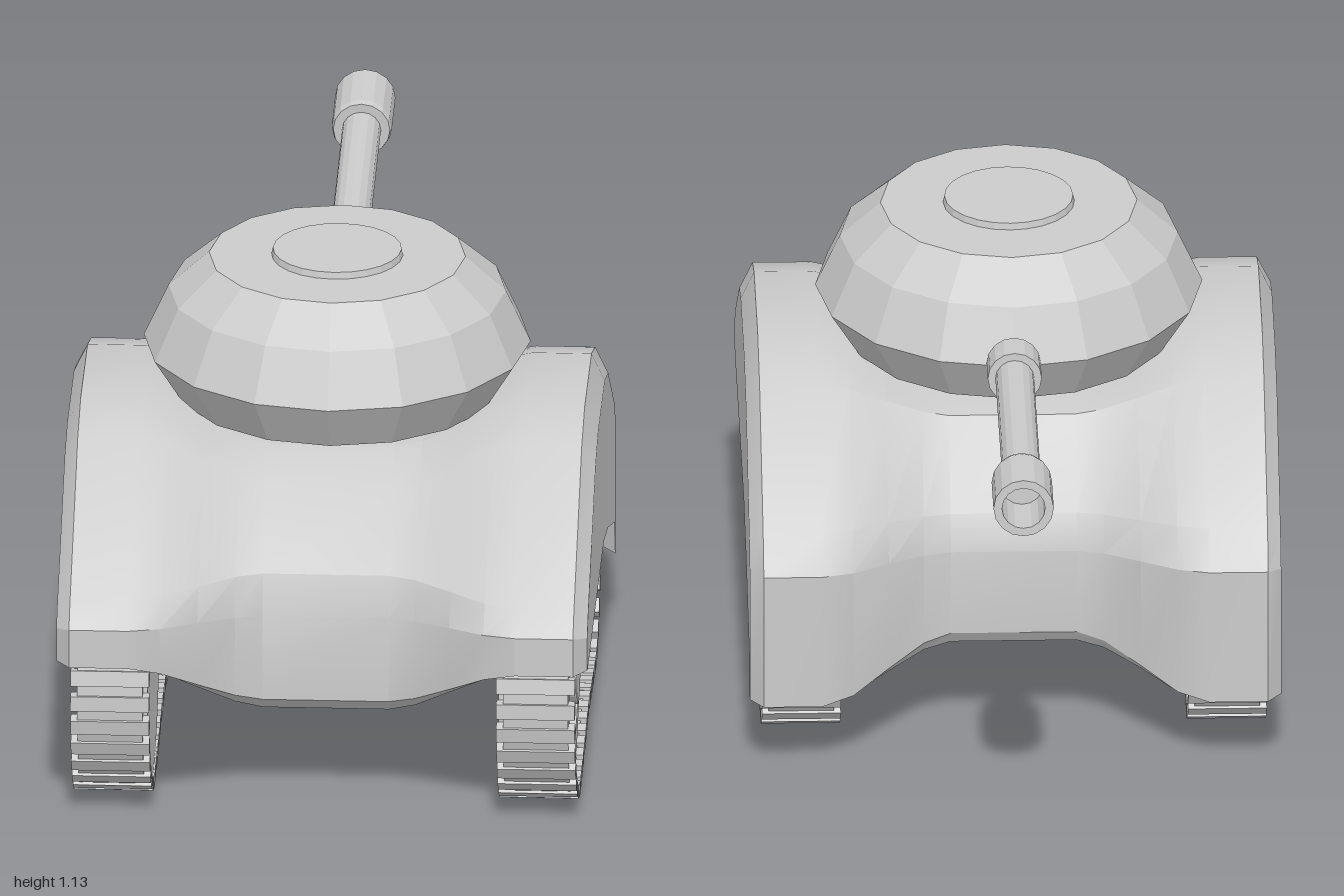
import * as THREE from 'three';
import { mergeGeometries, toCreasedNormals } from 'three/addons/utils/BufferGeometryUtils.js';

const flat = new THREE.MeshStandardMaterial({ color: 0xcccccc, flatShading: true });
const smooth = new THREE.MeshStandardMaterial({ color: 0xcccccc });

function addMesh(parent, name, geometry, material = flat) {
  const mesh = new THREE.Mesh(geometry, material);
  mesh.name = name;
  parent.add(mesh);
  return mesh;
}

// Profile of [radius, height] pairs turned around y
function lathe(points, sides) {
  return new THREE.LatheGeometry(points.map(p => new THREE.Vector2(...p)), sides);
}

// Hull: side profiles [z, y] lofted across x, from low middle to high fenders
function hullGeometry() {
  const fender = [[0.97, 0.415], [1, 0.42], [1, 0.51], [0.95, 0.56], [0.6, 0.81], [0.47, 0.85],
    [0.16, 0.85], [0, 0.8], [-0.3, 0.58], [-0.36, 0.5], [-0.36, 0.18], [-0.34, 0.18],
    [-0.33, 0.26], [0, 0.375], [0.2, 0.42], [0.5, 0.42]];
  const middle = [[0.76, 0.235], [0.8, 0.27], [0.8, 0.47], [0.77, 0.56], [0.6, 0.7], [0.48, 0.75],
    [0.16, 0.75], [0, 0.72], [-0.15, 0.55], [-0.18, 0.47], [-0.18, 0.27], [-0.16, 0.24],
    [-0.12, 0.24], [0, 0.245], [0.2, 0.25], [0.5, 0.29]];
  const blend = t => middle.map((m, i) => [0, 1].map(k => m[k] + (fender[i][k] - m[k]) * t));
  const inset = fender.map(([z, y]) => [0.32 + (z - 0.32) * 0.94, y > 0.42 ? 0.42 + (y - 0.42) * 0.86 : y]);

  const half = [[0.14, blend(0)], [0.2, blend(0.13)], [0.28, blend(0.48)], [0.36, blend(0.85)],
    [0.43, fender], [0.56, fender], [0.59, inset]];
  const rings = [...half.map(([x, p]) => [-x, p]).reverse(), ...half];
  const n = fender.length;
  const positions = [];
  const indices = [];
  for (const [x, profile] of rings) for (const [z, y] of profile) positions.push(x, y, z);
  for (let i = 0; i < rings.length - 1; i++) {
    for (let j = 0; j < n; j++) {
      const a = i * n + j, d = i * n + (j + 1) % n;
      indices.push(a, a + n, d + n, a, d + n, d);
    }
  }
  // Flat side walls
  const last = (rings.length - 1) * n;
  const outline = inset.map(p => new THREE.Vector2(...p));
  for (const [a, b, c] of THREE.ShapeUtils.triangulateShape(outline, [])) {
    indices.push(a, b, c, last + a, last + c, last + b);
  }
  const geometry = new THREE.BufferGeometry();
  geometry.setAttribute('position', new THREE.Float32BufferAttribute(positions, 3));
  geometry.setIndex(indices);
  return toCreasedNormals(geometry, 0.4);
}

const frontWheel = { z: 0.63, y: 0.3, r: 0.27, hub: 0.09 };
const rearWheel = { z: -0.035, y: 0.245, r: 0.205, hub: 0.067 };

function wheelGeometry({ z, y, r, hub }, side) {
  const rim = r * 0.77;
  return lathe([[0, 0.39], [r, 0.39], [r, 0.545], [rim, 0.545], [rim, 0.525],
    [hub, 0.525], [hub, 0.555], [0, 0.555]], 32)
    .rotateZ(-side * Math.PI / 2).translate(0, y, z);
}

// Track: wide pads and narrow connectors along a closed loop around both wheels
function trackGeometry() {
  const arc = (wheel, offset, from, to) => Array.from({ length: 7 }, (_, i) => {
    const a = THREE.MathUtils.degToRad(from + (to - from) * i / 6);
    const r = wheel.r + offset;
    return new THREE.Vector3(0, wheel.y + r * Math.sin(a), wheel.z + r * Math.cos(a));
  });
  const path = new THREE.CatmullRomCurve3([
    ...arc(frontWheel, 0.015, 80, -105),
    new THREE.Vector3(0, 0.05, 0.27),
    ...arc(rearWheel, 0.017, -75, -260),
  ], true);
  const links = 52;
  const pitch = path.getLength() / links;
  const parts = [];
  for (let i = 0; i < links * 2; i++) {
    const u = i / (links * 2);
    const p = path.getPointAt(u), t = path.getTangentAt(u);
    const box = i % 2
      ? new THREE.BoxGeometry(0.145, 0.018, pitch * 0.6)
      : new THREE.BoxGeometry(0.175, 0.03, pitch * 0.62);
    parts.push(box.rotateX(Math.atan2(-t.y, t.z)).translate(p.x, p.y, p.z));
  }
  return mergeGeometries(parts);
}

export function createModel() {
  const model = new THREE.Group();
  model.name = 'tank';

  addMesh(model, 'hull', hullGeometry(), smooth);

  // Running gear on both sides
  const track = trackGeometry();
  for (const side of [1, -1]) {
    const gear = new THREE.Group();
    gear.name = side > 0 ? 'leftRunningGear' : 'rightRunningGear';
    addMesh(gear, 'frontWheel', wheelGeometry(frontWheel, side));
    addMesh(gear, 'rearWheel', wheelGeometry(rearWheel, side));
    addMesh(gear, 'track', track).position.x = side * 0.473;
    model.add(gear);
  }

  // Turret on its stepped neck
  const turret = new THREE.Group();
  turret.name = 'turret';
  turret.position.z = 0.262;
  addMesh(turret, 'turretNeck', lathe([[0, 0.7], [0.097, 0.7], [0.097, 0.78], [0.14, 0.78], [0.14, 0.82]], 24));
  addMesh(turret, 'turretShell', lathe([[0, 0.808], [0.36, 0.808], [0.43, 0.92], [0.375, 1.04],
    [0.285, 1.12], [0, 1.12]], 16));
  addMesh(turret, 'hatch', lathe([[0.148, 1.11], [0.143, 1.135], [0, 1.135]], 24));
  model.add(turret);

  // Gun with collar and hollow muzzle, pointing to the rear and slightly raised
  const gun = addMesh(model, 'gunBarrel', lathe([[0, 0], [0.06, 0], [0.06, 0.09], [0.043, 0.09],
    [0.043, 0.67], [0.063, 0.67], [0.067, 0.685], [0.067, 0.838], [0.048, 0.838], [0.048, 0.7], [0, 0.7]], 16)
    .rotateX(-Math.PI / 2));
  gun.position.set(0, 0.927, -0.16);
  gun.rotation.x = 0.06;

  return model;
}
